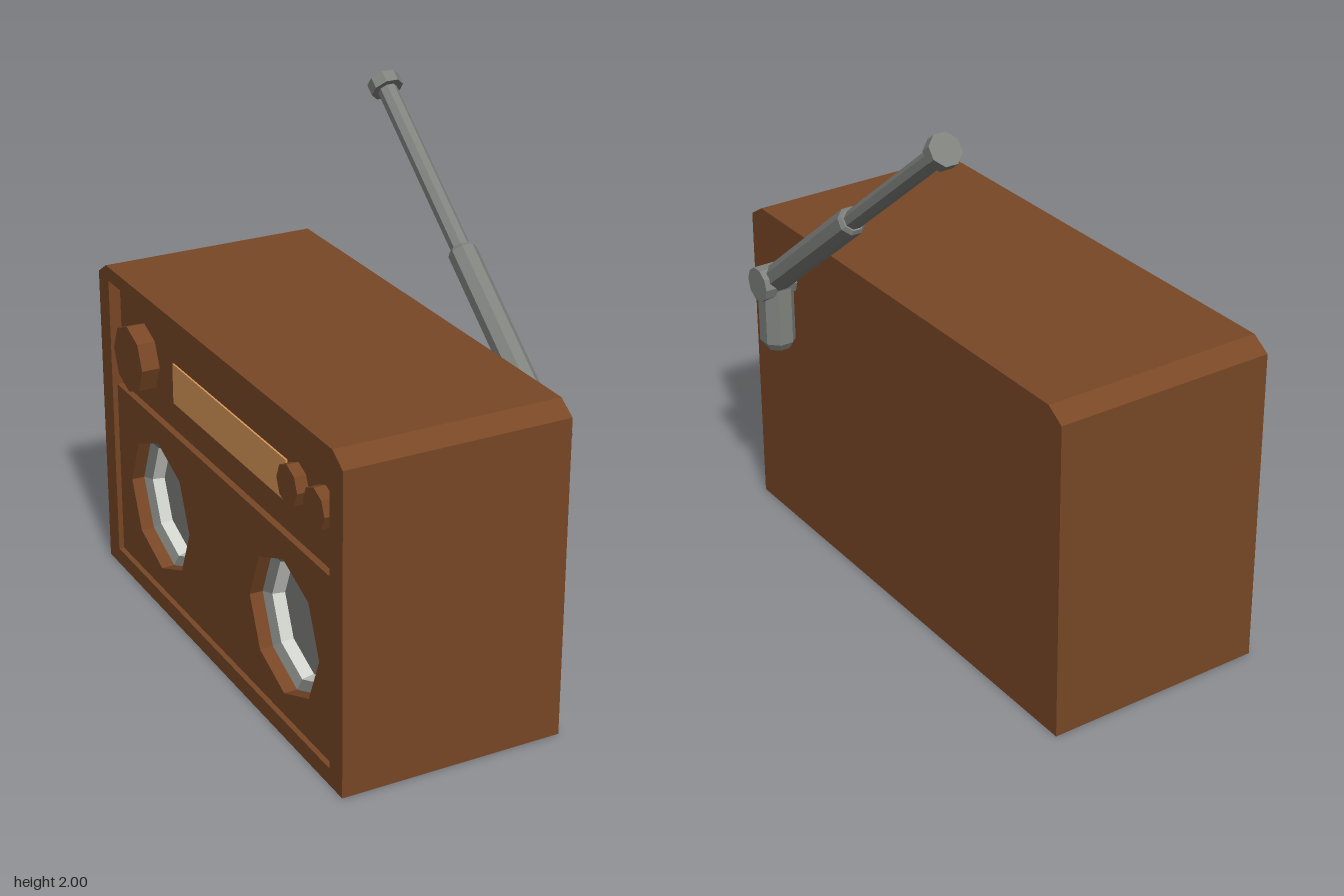
import * as THREE from 'three';

const paint = (name, color) => {
  const m = new THREE.MeshStandardMaterial({ color, flatShading: true });
  m.name = name;
  return m;
};

export function createModel() {
  const wood = paint('brown wood', 0x784726);
  const metal = paint('grey metal', 0x80827e);
  const pale = paint('pale grey', 0xd0d2cc);
  const tan = paint('tan dial', 0xd89858);

  const model = new THREE.Group();
  model.name = 'radio';
  const add = (name, geometry, material, parent = model) => {
    const mesh = new THREE.Mesh(geometry, material);
    mesh.name = name;
    parent.add(mesh);
    return mesh;
  };

  const FACE = -0.475;                    // outer face of the control side
  const SPEAKER_Z = [-0.51, 0.51], SPEAKER_Y = 0.41, SPEAKER_R = 0.26;

  // Outlines drawn in (z, y)
  const path = (pts) => pts.map(([z, y]) => new THREE.Vector2(z, y));
  const outline = path([[-0.97, 0], [0.97, 0], [0.97, 1.2], [0.9, 1.245], [-0.9, 1.245], [-0.97, 1.2]]);
  const rect = (z0, y0, z1, y1) => path([[z0, y0], [z0, y1], [z1, y1], [z1, y0]]);
  const octagon = (z, y, r) => path(Array.from({ length: 8 }, (_, i) => {
    const a = -i * Math.PI / 4;
    return [z + r * Math.cos(a), y + r * Math.sin(a)];
  }));

  // Case slab between two depths behind the control face, with openings
  const slab = (name, d0, d1, holes) => {
    const shape = new THREE.Shape(outline);
    holes.forEach((h) => shape.holes.push(new THREE.Path(h)));
    const g = new THREE.ExtrudeGeometry(shape, { depth: d1 - d0, bevelEnabled: false });
    g.rotateY(-Math.PI / 2).translate(FACE + d1, 0, 0);
    add(name, g, wood);
  };
  const speakerHoles = SPEAKER_Z.map((z) => octagon(z, SPEAKER_Y, SPEAKER_R));
  slab('caseRim', 0, 0.02, [rect(-0.88, 0.065, 0.88, 1.19)]);
  slab('lowerPanel', 0.02, 0.045, [rect(-0.88, 0.765, 0.88, 1.19), ...speakerHoles]);
  slab('upperPanel', 0.045, 0.14, speakerHoles);
  slab('caseBody', 0.14, 0.845, []);

  // Speakers: sloped ring, pale inner wall and flat centre
  const lathe = (pts) => new THREE.LatheGeometry(path(pts), 8).rotateZ(Math.PI / 2);
  for (const z of SPEAKER_Z) {
    const speaker = new THREE.Group();
    speaker.name = 'speaker';
    speaker.position.set(FACE + 0.135, SPEAKER_Y, z);
    add('speakerRing', lathe([[SPEAKER_R, 0.065], [0.225, 0.045]]), metal, speaker);
    add('speakerWall', lathe([[0.225, 0.045], [0.215, 0]]), pale, speaker);
    add('speakerCentre', lathe([[0.215, 0], [0, 0]]), metal, speaker);
    model.add(speaker);
  }

  // Dial window
  add('dialWindow', new THREE.BoxGeometry(0.008, 0.155, 0.9), tan)
    .position.set(FACE + 0.042, 0.952, 0.05);

  // Octagonal knobs: z, y, radius, front x
  for (const [name, z, y, r, front] of [
    ['tuningKnob', -0.66, 0.96, 0.13, -0.5],
    ['smallKnob', 0.58, 0.98, 0.075, -0.474],
    ['smallKnob', 0.77, 0.98, 0.075, -0.474],
  ]) {
    const back = FACE + 0.05;
    const g = new THREE.CylinderGeometry(r, r, back - front, 8).rotateZ(Math.PI / 2);
    add(name, g, wood).position.set((front + back) / 2, y, z);
  }

  // Antenna: post, hinge and telescopic rod
  const antenna = new THREE.Group();
  antenna.name = 'antenna';
  antenna.position.set(0.43, 1.04, 0.72);
  model.add(antenna);
  const tube = (name, r0, r1, y0, y1, parent) => add(name,
    new THREE.CylinderGeometry(r1, r0, y1 - y0, 8).rotateY(Math.PI / 8)
      .translate(0, (y0 + y1) / 2, 0), metal, parent);
  tube('antennaPost', 0.068, 0.068, -0.24, -0.02, antenna).position.x = -0.008;
  tube('antennaPostFoot', 0.05, 0.068, -0.27, -0.24, antenna).position.x = -0.008;
  add('antennaHinge', new THREE.CylinderGeometry(0.066, 0.066, 0.13, 10)
    .rotateZ(Math.PI / 2), metal, antenna).position.x = 0.005;

  const rod = new THREE.Group();
  rod.name = 'antennaRod';
  rod.rotation.x = -Math.atan2(1.14, 0.92);
  antenna.add(rod);
  tube('lowerRod', 0.053, 0.053, 0, 0.72, rod);
  tube('lowerRodCollar', 0.053, 0.042, 0.72, 0.735, rod);
  tube('upperRod', 0.036, 0.036, 0.73, 1.43, rod);
  tube('rodTip', 0.06, 0.06, 1.42, 1.465, rod);

  return model;
}
